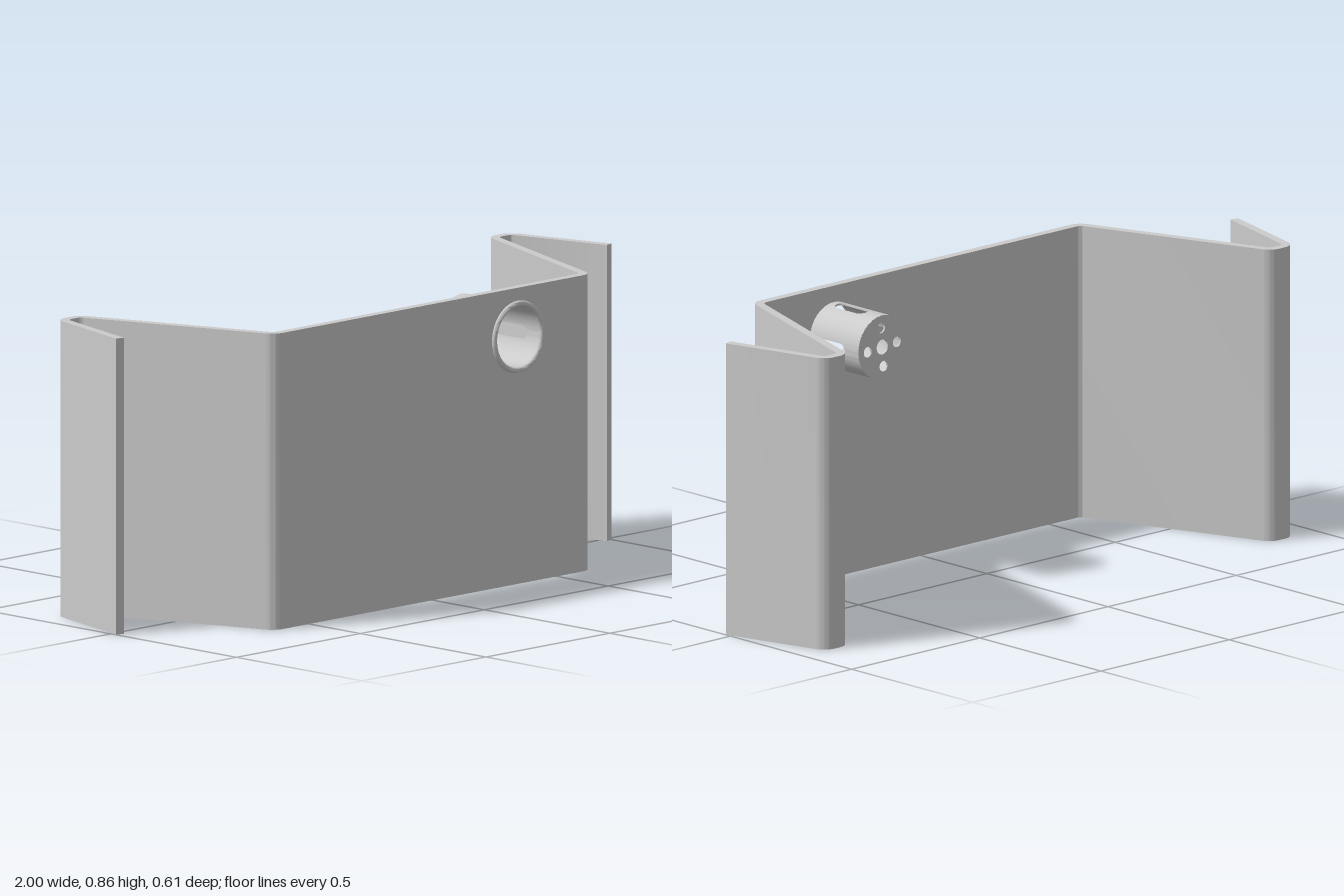
import * as THREE from 'three';
import { toCreasedNormals } from 'three/addons/utils/BufferGeometryUtils.js';

const HEIGHT = 0.855, SHEET = 0.026, PANEL_Z = 0.283, SPLIT = 0.58;
const CUP = { x: 0.342, y: 0.714, outer: 0.093, inner: 0.088, back: 0.07, front: 0.298, twist: 0.085 };

// Outline of a constant-thickness strip along a path with rounded bends
function stripOutline(path, radius, thickness) {
  const left = [], right = [];
  const add = (p, angle) => {
    const n = new THREE.Vector2(-Math.sin(angle), Math.cos(angle)).multiplyScalar(thickness / 2);
    left.push(p.clone().add(n));
    right.unshift(p.clone().sub(n));
  };
  const dir = i => path[i + 1].clone().sub(path[i]).normalize();
  const last = path.length - 1;
  add(path[0], dir(0).angle());
  for (let i = 1; i < last; i++) {
    const d0 = dir(i - 1), d1 = dir(i);
    const turn = Math.atan2(d0.cross(d1), d0.dot(d1)), side = Math.sign(turn);
    const start = d0.angle();
    const centre = path[i].clone().addScaledVector(d0, -radius * Math.tan(Math.abs(turn) / 2))
      .add(new THREE.Vector2(-d0.y, d0.x).multiplyScalar(side * radius));
    for (let k = 0; k <= 10; k++) {
      const a = start + turn * k / 10;
      const n = new THREE.Vector2(-Math.sin(a), Math.cos(a));
      add(centre.clone().addScaledVector(n, -side * radius), a);
    }
  }
  add(path[last], dir(last - 1).angle());
  return [...left, ...right];
}

// Folded side wing, extruded upwards (shape y is -z)
function wingGeometry(side) {
  const path = [[SPLIT, PANEL_Z], [0.627, PANEL_Z], [0.835, -0.289], [0.903, -0.289], [0.987, 0.023]]
    .map(([x, z]) => new THREE.Vector2(side * x, -z));
  const shape = new THREE.Shape(stripOutline(path, 0.032, SHEET));
  const geo = new THREE.ExtrudeGeometry(shape, { depth: HEIGHT, bevelEnabled: false });
  return toCreasedNormals(geo.rotateX(-Math.PI / 2), 0.5);
}

function circleHole(x, y, r) {
  return new THREE.Path().absarc(x, y, r, 0, Math.PI * 2, true);
}

// Flat front panel pierced for the cup
function panelGeometry() {
  const shape = new THREE.Shape([[-SPLIT, 0], [SPLIT, 0], [SPLIT, HEIGHT], [-SPLIT, HEIGHT]]
    .map(p => new THREE.Vector2(...p)));
  shape.holes.push(circleHole(CUP.x, CUP.y, 0.0915));
  const geo = new THREE.ExtrudeGeometry(shape, { depth: SHEET, bevelEnabled: false, curveSegments: 32 });
  return toCreasedNormals(geo.translate(0, 0, PANEL_Z - SHEET / 2), 0.5);
}

// Thin cylindrical wall with four round-ended slots along its axis
function cupWallGeometry() {
  const pos = [];
  const { outer: ro, inner: ri, back, front } = CUP;
  const point = ([a, r, z]) => [r * Math.sin(a), r * Math.cos(a), z];
  const quad = (a, b, c, d) => [a, b, c, a, c, d].forEach(p => pos.push(...point(p)));
  const band = (a, b, la, lb, ha, hb) => {
    quad([a, ro, la], [a, ro, ha], [b, ro, hb], [b, ro, lb]);
    quad([b, ri, lb], [b, ri, hb], [a, ri, ha], [a, ri, la]);
    quad([a, ro, ha], [a, ri, ha], [b, ri, hb], [b, ro, hb]);
    quad([b, ro, lb], [b, ri, lb], [a, ri, la], [a, ro, la]);
  };
  const half = 0.02, w = half / ro, lowEnd = 0.146, highEnd = 0.228;
  for (let q = 0; q < 4; q++) {
    const mid = q * Math.PI / 2;
    // columns crossing the slot
    for (let k = 0; k < 10; k++) {
      const t0 = Math.PI * k / 10, t1 = Math.PI * (k + 1) / 10;
      const a = mid - w * Math.cos(t0), b = mid - w * Math.cos(t1);
      const e0 = half * Math.sin(t0), e1 = half * Math.sin(t1);
      band(a, b, back, back, lowEnd - e0, lowEnd - e1);
      band(a, b, highEnd + e0, highEnd + e1, front, front);
    }
    // straight slot sides
    const e = mid + w, s = mid - w;
    quad([e, ro, lowEnd], [e, ri, lowEnd], [e, ri, highEnd], [e, ro, highEnd]);
    quad([s, ro, highEnd], [s, ri, highEnd], [s, ri, lowEnd], [s, ro, lowEnd]);
    // solid wall up to the next slot
    const span = Math.PI / 2 - 2 * w;
    for (let k = 0; k < 14; k++) {
      band(e + span * k / 14, e + span * (k + 1) / 14, back, back, front, front);
    }
  }
  const geo = new THREE.BufferGeometry();
  geo.setAttribute('position', new THREE.Float32BufferAttribute(pos, 3));
  return toCreasedNormals(geo, 0.5);
}

// Perforated end of the cup
function cupEndGeometry() {
  const shape = new THREE.Shape().absarc(0, 0, 0.0925, 0, Math.PI * 2, false);
  shape.holes.push(circleHole(0, 0, 0.022));
  for (let i = 0; i < 4; i++) {
    const a = i * Math.PI / 2;
    shape.holes.push(circleHole(0.057 * Math.sin(a), 0.057 * Math.cos(a), 0.0155));
  }
  const geo = new THREE.ExtrudeGeometry(shape, { depth: 0.006, bevelEnabled: false, curveSegments: 32 });
  return toCreasedNormals(geo.translate(0, 0, CUP.back - 0.0005), 0.5);
}

// Rounded lip resting on the panel
function cupFlangeGeometry() {
  const profile = [[0.088, 0.294], [0.104, 0.294], [0.104, 0.298], [0.1025, 0.302], [0.099, 0.305],
    [0.093, 0.305], [0.0895, 0.302], [0.088, 0.298], [0.088, 0.294]].map(p => new THREE.Vector2(...p));
  return toCreasedNormals(new THREE.LatheGeometry(profile, 64).rotateX(Math.PI / 2), 0.8);
}

export function createModel() {
  const model = new THREE.Group();
  model.name = 'foldedPanelWithVentCup';
  const material = new THREE.MeshStandardMaterial({ color: 0xcccccc });
  const add = (parent, name, geometry) => {
    const mesh = new THREE.Mesh(geometry, material);
    mesh.name = name;
    parent.add(mesh);
  };

  add(model, 'frontPanel', panelGeometry());
  add(model, 'leftWing', wingGeometry(1));
  add(model, 'rightWing', wingGeometry(-1));

  const cup = new THREE.Group();
  cup.name = 'ventCup';
  cup.position.set(CUP.x, CUP.y, 0);
  cup.rotation.z = -CUP.twist;
  add(cup, 'cupWall', cupWallGeometry());
  add(cup, 'cupEnd', cupEndGeometry());
  add(cup, 'cupFlange', cupFlangeGeometry());
  model.add(cup);
  return model;
}
